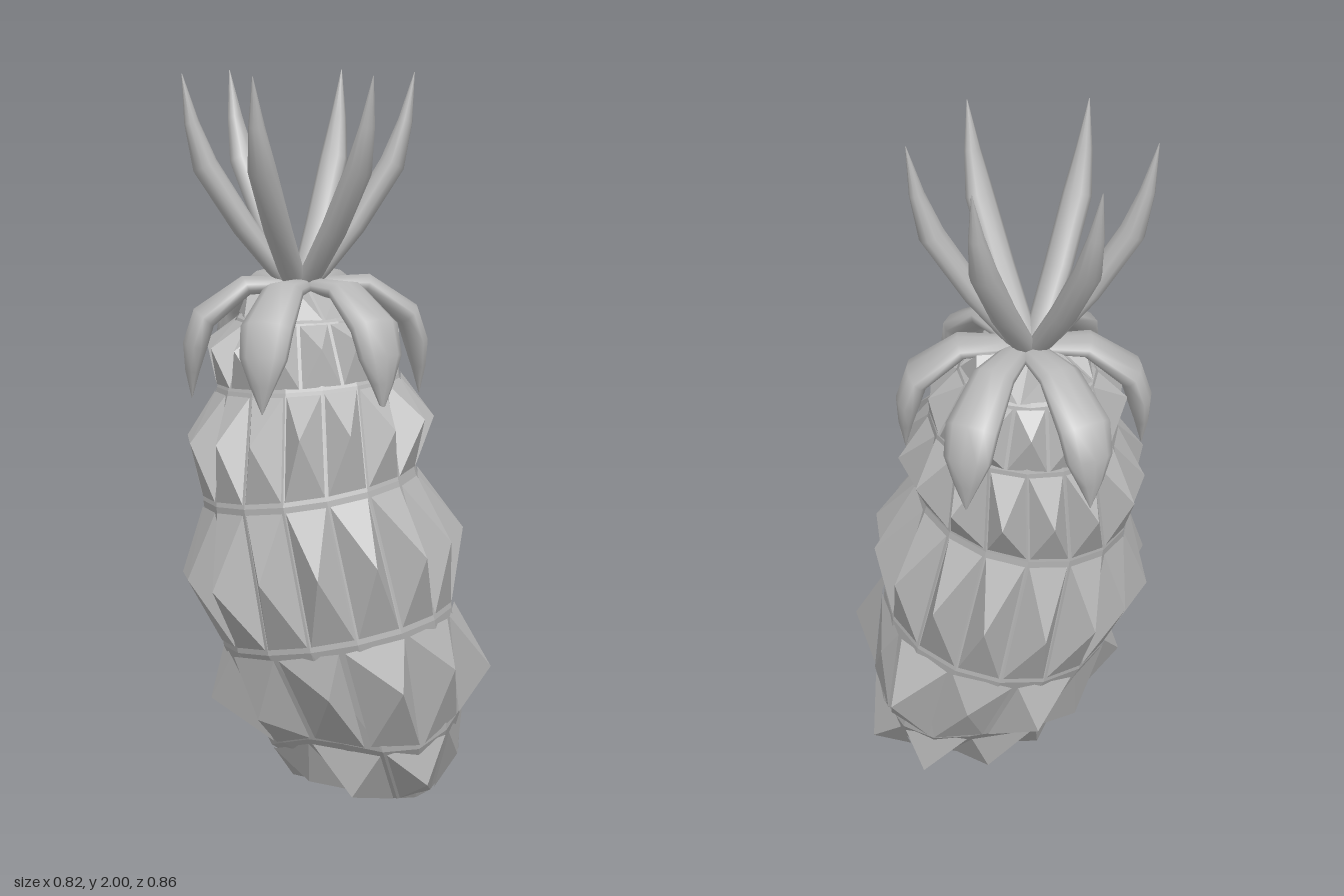
import * as THREE from 'three';

const grey = new THREE.MeshStandardMaterial({ color: 0xb6b6b6 });
grey.name = 'grey';
const TAU = Math.PI * 2;
const V = (x, y, z) => new THREE.Vector3(x, y, z);

// Small seeded generator, -1..1
let seed = 11;
const jitter = () => {
  seed = (seed * 16807) % 2147483647;
  return (seed / 2147483647) * 2 - 1;
};

// Tilted rings of the fruit, bottom to top: centre, radii in x and z, slopes in x and z, waviness
const RINGS = [
  { x: 0.14, y: 0.065, z: 0.055, rx: 0.14, rz: 0.13, sx: 0.02, sz: -0.08, wave: 0.01 },
  { x: 0.08, y: 0.23, z: 0.04, rx: 0.265, rz: 0.265, sx: 0.12, sz: 0.02, wave: 0.03 },
  { x: 0.0, y: 0.515, z: 0.035, rx: 0.315, rz: 0.345, sx: 0.18, sz: 0.06, wave: 0 },
  { x: -0.075, y: 0.905, z: 0.01, rx: 0.29, rz: 0.325, sx: 0.16, sz: 0.02, wave: 0 },
  { x: -0.07, y: 1.18, z: -0.045, rx: 0.25, rz: 0.27, sx: 0.08, sz: 0.02, wave: 0 },
  { x: -0.08, y: 1.35, z: -0.075, rx: 0.18, rz: 0.2, sx: 0.03, sz: 0, wave: 0 },
  { x: -0.09, y: 1.43, z: -0.09, rx: 0.07, rz: 0.07, sx: 0, sz: 0, wave: 0 },
];

// Tiers between rings: spike count, spike height, irregularity, lift
const TIERS = [
  { n: 8, h: 0.065, j: 0.03, lift: 0.008 },
  { n: 11, h: 0.08, j: 0.04, lift: 0.008 },
  { n: 16, h: 0.085, j: 0.01, lift: 0.004 },
  { n: 16, h: 0.075, j: 0.008, lift: 0.004 },
  { n: 14, h: 0.06, j: 0.012, lift: 0.004 },
  { n: 9, h: 0.04, j: 0.01, lift: 0.004 },
];

const ringPoint = (k, t) => {
  const q = RINGS[k], dx = Math.cos(t) * q.rx, dz = Math.sin(t) * q.rz;
  return V(q.x + dx, q.y + dx * q.sx + dz * q.sz + q.wave * Math.sin(3 * t + 1), q.z + dz);
};

function flatMesh(points, name) {
  const geo = new THREE.BufferGeometry().setFromPoints(points);
  geo.computeVertexNormals(); // unshared corners give flat facets
  const mesh = new THREE.Mesh(geo, grey);
  mesh.name = name;
  return mesh;
}

// Corners of a cell, wound to face outward
const cell = (k, t0, t1) => [ringPoint(k, t0), ringPoint(k + 1, t0), ringPoint(k + 1, t1), ringPoint(k, t1)];

// Plain closed core that shows as grooves and bands between the spikes
function core() {
  const pts = [], n = 16, last = RINGS.length - 1;
  const low = RINGS[0], top = RINGS[last];
  for (let i = 0; i < n; i++) {
    const t0 = (i / n) * TAU, t1 = ((i + 1) / n) * TAU;
    for (let k = 0; k < last; k++) {
      const [a, d, c, b] = cell(k, t0, t1);
      pts.push(a, d, c, a, c, b);
    }
    pts.push(ringPoint(last, t0), V(top.x, top.y + 0.01, top.z), ringPoint(last, t1));
    pts.push(ringPoint(0, t0), ringPoint(0, t1), V(low.x, low.y - 0.02, low.z));
  }
  return flatMesh(pts, 'fruitCore');
}

// One tier of four-sided spikes
function spikeTier(k) {
  const { n, h, j, lift } = TIERS[k], pts = [];
  for (let i = 0; i < n; i++) {
    const corners = cell(k, (i / n) * TAU, ((i + 1) / n) * TAU);
    const mid = corners.reduce((s, p) => s.add(p), V(0, 0, 0)).multiplyScalar(0.25);
    const normal = corners[2].clone().sub(corners[0])
      .cross(corners[3].clone().sub(corners[1])).normalize();
    const base = corners.map((p) => p.clone().lerp(mid, 0.08).addScaledVector(normal, lift));
    const apex = mid.clone().addScaledVector(normal, h + jitter() * j * 0.6);
    apex.add(V(jitter() * j, jitter() * j, jitter() * j));
    apex.y = Math.max(apex.y, 0.03);
    for (let e = 0; e < 4; e++) pts.push(base[e], base[(e + 1) % 4], apex);
  }
  return flatMesh(pts, 'spikeTier' + (k + 1));
}

// Spike closing the underside
function bottomSpike() {
  const pts = [], n = 8, tip = V(0.1, 0, 0.0);
  for (let i = 0; i < n; i++) {
    pts.push(ringPoint(0, (i / n) * TAU), ringPoint(0, ((i + 1) / n) * TAU), tip);
  }
  return flatMesh(pts, 'bottomSpike');
}

// Leaf lofted along stations [radius, height, half width, half thickness]
function leafGeometry(stations) {
  const n = 10, pos = [], idx = [];
  stations.forEach(([r, y, w, t], s) => {
    const p = stations[Math.max(s - 1, 0)], q = stations[Math.min(s + 1, stations.length - 1)];
    const len = Math.hypot(q[0] - p[0], q[1] - p[1]);
    const nx = -(q[1] - p[1]) / len, ny = (q[0] - p[0]) / len;
    for (let i = 0; i < n; i++) {
      const a = (i / n) * TAU, up = Math.cos(a) * t;
      pos.push(r + nx * up, y + ny * up, Math.sin(a) * w);
    }
  });
  for (let s = 0; s < stations.length - 1; s++) {
    for (let i = 0; i < n; i++) {
      const a = s * n + i, b = s * n + ((i + 1) % n);
      idx.push(a, b, a + n, b, b + n, a + n);
    }
  }
  const geo = new THREE.BufferGeometry();
  geo.setAttribute('position', new THREE.Float32BufferAttribute(pos, 3));
  geo.setIndex(idx);
  geo.computeVertexNormals();
  return geo;
}

const UPRIGHT = [
  [0.0, 1.4, 0.03, 0.02], [0.065, 1.48, 0.036, 0.028], [0.15, 1.59, 0.039, 0.033],
  [0.255, 1.755, 0.039, 0.035], [0.29, 1.87, 0.022, 0.02], [0.315, 2.0, 0.001, 0.001],
];
const DROOPING = [
  [0.0, 1.415, 0.03, 0.018], [0.06, 1.43, 0.042, 0.022], [0.165, 1.43, 0.058, 0.028],
  [0.28, 1.345, 0.074, 0.036], [0.304, 1.27, 0.066, 0.034], [0.312, 1.2, 0.035, 0.02],
  [0.314, 1.125, 0.001, 0.001],
];

// Six leaves around the crown; the four leaning front or back take their own reach and angle
function leafRing(stations, name, x, reach, lean) {
  const group = new THREE.Group();
  group.name = name + 'Leaves';
  const side = leafGeometry(stations);
  const long = leafGeometry(stations.map(([r, ...rest]) => [r * reach, ...rest]));
  const angles = [0, lean, Math.PI - lean, Math.PI, Math.PI + lean, -lean];
  angles.forEach((angle, i) => {
    const leaf = new THREE.Mesh(i % 3 === 0 ? side : long, grey);
    leaf.name = name + 'Leaf';
    leaf.rotation.y = angle;
    group.add(leaf);
  });
  group.position.set(x, 0, -0.087);
  return group;
}

export function createModel() {
  const model = new THREE.Group();
  model.name = 'pineapple';
  model.add(core(), bottomSpike());
  TIERS.forEach((_, k) => model.add(spikeTier(k)));
  model.add(leafRing(UPRIGHT, 'upright', -0.088, 1, TAU / 6), leafRing(DROOPING, 'drooping', -0.07, 1.12, 1.1));
  return model;
}
